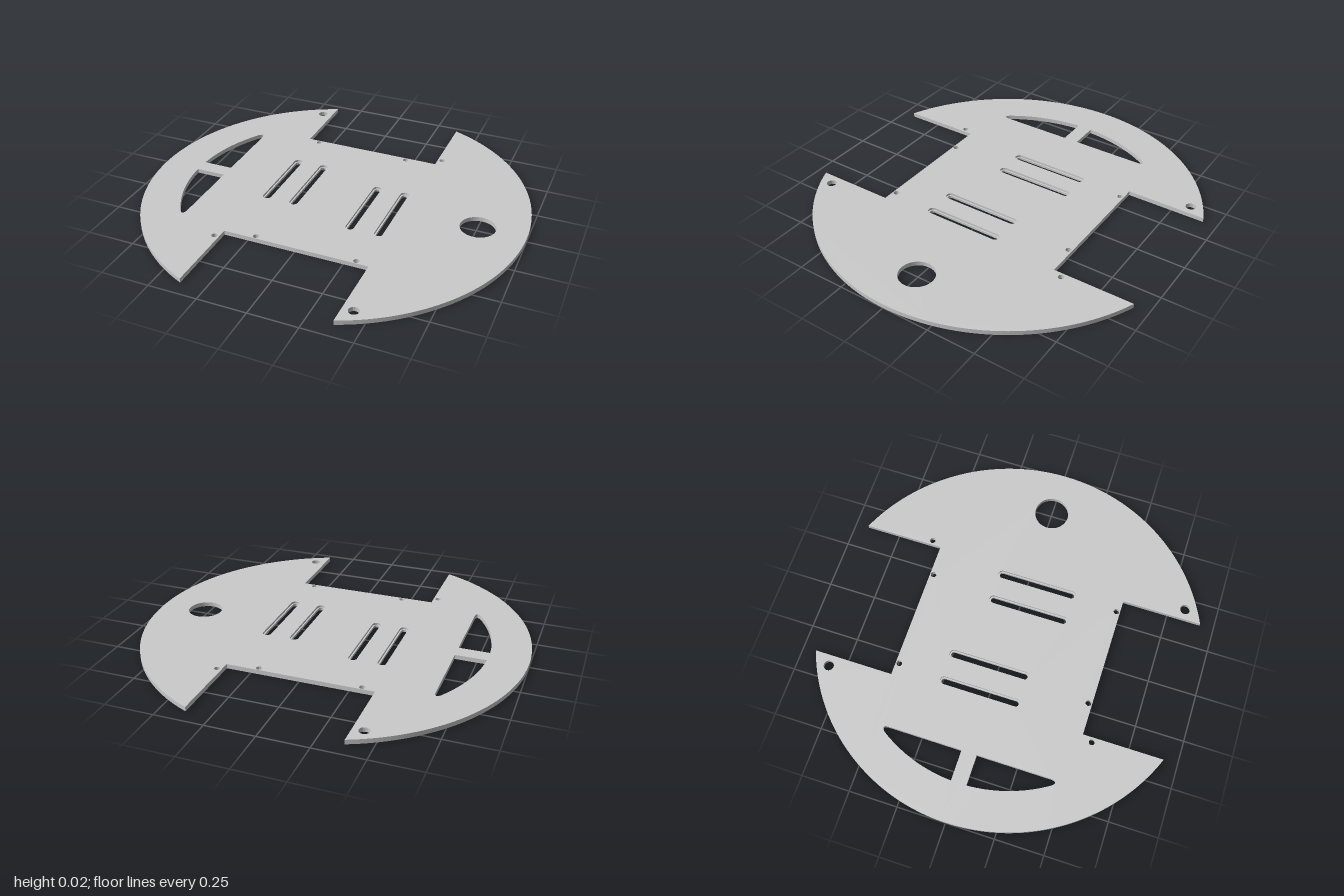
import * as THREE from 'three';
import { toCreasedNormals } from 'three/addons/utils/BufferGeometryUtils.js';

const THICKNESS = 0.023;
const LEDGE = 0.012;

// Shapes are drawn as (x, z) and extruded upward from y = 0
function slab(shape, height, name) {
  let geo = new THREE.ExtrudeGeometry(shape, { depth: height, bevelEnabled: false, curveSegments: 40 });
  geo.rotateX(Math.PI / 2).translate(0, height, 0);
  geo = toCreasedNormals(geo, 0.5);
  const mesh = new THREE.Mesh(geo, new THREE.MeshStandardMaterial({ color: 0xcccccc }));
  mesh.name = name;
  return mesh;
}

function circle(x, z, r) {
  return new THREE.Path().absarc(x, z, r, 0, Math.PI * 2, false);
}

// Round-ended slot running along z, with end-arc centres at z0 and z1
function slot(PathType, x, z0, z1, r) {
  const p = new PathType();
  p.absarc(x, z1, r, 0, Math.PI, false);
  p.absarc(x, z0, r, Math.PI, Math.PI * 2, false);
  p.closePath();
  return p;
}

// Curved window between the rim and a straight inner edge; s picks the side in z
function rimWindow(s) {
  const p = new THREE.Path();
  p.moveTo(-0.64, 0.04 * s);
  p.lineTo(-0.64, 0.43 * s);
  p.quadraticCurveTo(-0.645, 0.465 * s, -0.67, 0.437 * s);
  const a0 = Math.atan2(0.437, 0.67), a1 = Math.asin(0.04 / 0.8);
  for (let i = 1; i <= 24; i++) {
    const a = a0 + (a1 - a0) * i / 24;
    p.lineTo(-0.8 * Math.cos(a), 0.8 * Math.sin(a) * s);
  }
  p.closePath();
  return p;
}

export function createModel() {
  const group = new THREE.Group();
  group.name = 'chassisPlate';

  // Round plate with a rectangular notch at front and back
  const nx = 0.377, nz = 0.511, a = Math.acos(nx);
  const plate = new THREE.Shape();
  plate.absarc(0, 0, 1, -a, a, false);
  plate.lineTo(nx, nz);
  plate.lineTo(-nx, nz);
  plate.absarc(0, 0, 1, Math.PI - a, Math.PI + a, false);
  plate.lineTo(-nx, -nz);
  plate.lineTo(nx, -nz);
  plate.closePath();

  // Large cable hole and the two rim windows
  plate.holes.push(circle(0.757, 0, 0.09), rimWindow(1), rimWindow(-1));

  // Screw holes, repeated by a half turn
  const screws = [[0.433, 0.832, 0.026], [0.31, 0.492, 0.015], [-0.213, 0.492, 0.015], [-0.402, 0.564, 0.015]];
  for (const [x, z, r] of screws) plate.holes.push(circle(x, z, r), circle(-x, -z, r));

  // Stepped slots: wide at the top, with a narrow ledge below
  const wide = 0.0225, narrow = 0.015;
  for (const s of [1, -1]) {
    for (const x of [0.176, 0.327]) {
      const ends = [-0.142 * s, 0.241 * s].sort((p, q) => p - q);
      plate.holes.push(slot(THREE.Path, x * s, ...ends, wide));
      const ledge = slot(THREE.Shape, x * s, ...ends, wide);
      ledge.holes.push(slot(THREE.Path, x * s, ...ends, narrow));
      group.add(slab(ledge, LEDGE, 'slotLedge'));
    }
  }

  group.add(slab(plate, THICKNESS, 'plate'));
  return group;
}
